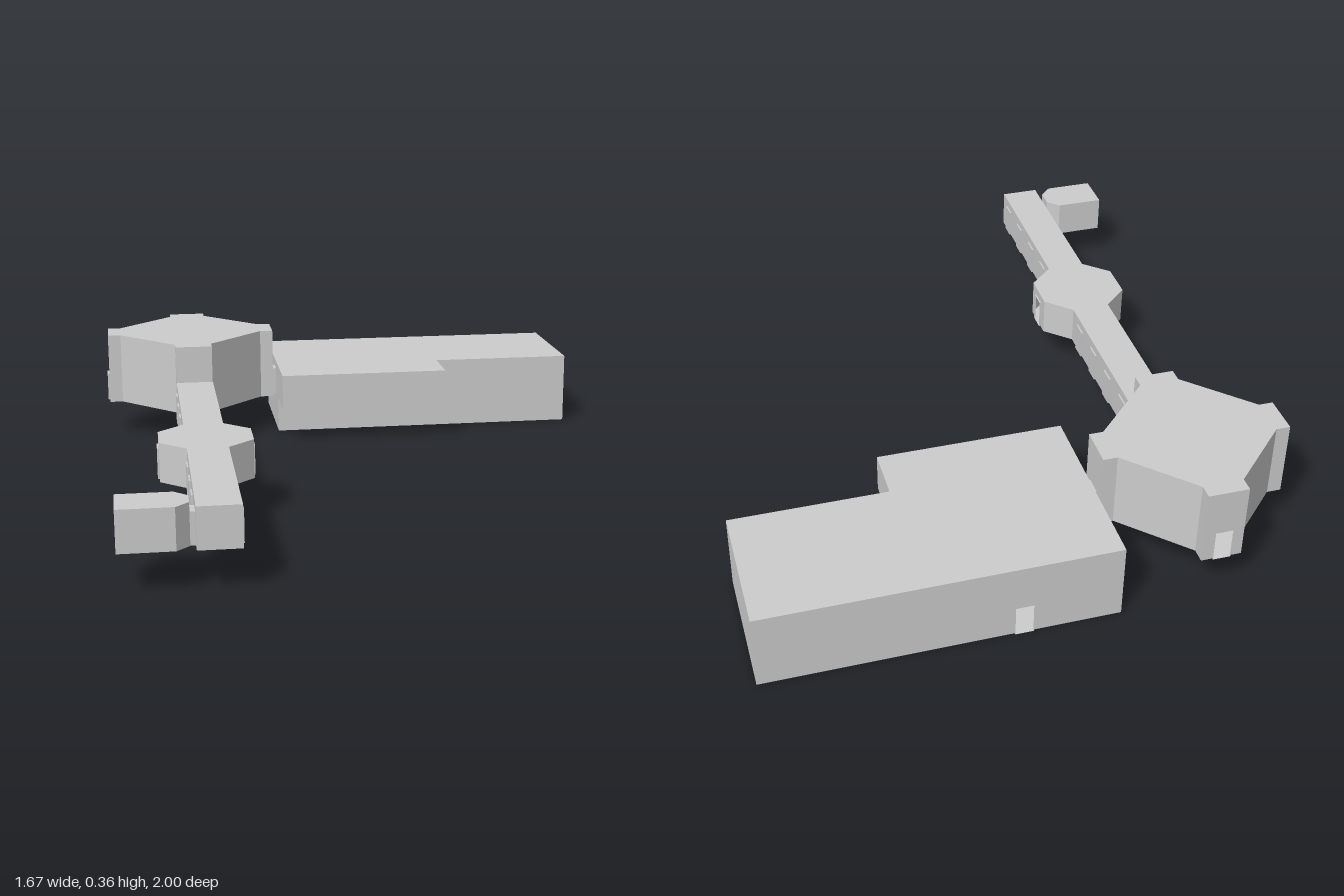
import * as THREE from 'three';
import { mergeGeometries } from 'three/addons/utils/BufferGeometryUtils.js';

const DOOR = 0.055, DOOR_H = 0.095, LEVEL = 0.12;

export function createModel() {
  const model = new THREE.Group();
  const grey = new THREE.MeshStandardMaterial({ color: 0xcccccc, side: THREE.DoubleSide });
  grey.name = 'plain grey';

  const add = (name, geometry) => {
    const mesh = new THREE.Mesh(geometry, grey);
    mesh.name = name;
    model.add(mesh);
    return mesh;
  };

  // One upright wall from a to b, with an optional doorway { at, sill }
  function wall(a, b, y0, y1, door) {
    const dx = b[0] - a[0], dz = b[1] - a[1], len = Math.hypot(dx, dz), h = y1 - y0;
    const p = (list) => list.map(([x, y]) => new THREE.Vector2(x, y));
    let shape;
    if (!door) {
      shape = new THREE.Shape(p([[0, 0], [len, 0], [len, h], [0, h]]));
    } else {
      const at = door.at ?? len / 2, u0 = at - DOOR / 2, u1 = at + DOOR / 2;
      if (door.sill) {
        shape = new THREE.Shape(p([[0, 0], [len, 0], [len, h], [0, h]]));
        const s = door.sill, t = s + DOOR_H;
        shape.holes.push(new THREE.Path(p([[u0, s], [u0, t], [u1, t], [u1, s]])));
      } else {
        shape = new THREE.Shape(p([[0, 0], [u0, 0], [u0, DOOR_H], [u1, DOOR_H],
          [u1, 0], [len, 0], [len, h], [0, h]]));
      }
    }
    const d = new THREE.Vector3(dx / len, 0, dz / len);
    const up = new THREE.Vector3(0, 1, 0);
    const m = new THREE.Matrix4().makeBasis(d, up, d.clone().cross(up)).setPosition(a[0], y0, a[1]);
    return new THREE.ShapeGeometry(shape).applyMatrix4(m);
  }

  // Hollow room over a plan of [x, z] corners, starting at the front and going towards +x
  function room(name, plan, y0, y1, doors = {}, open = []) {
    const slab = (sign) => new THREE.ShapeGeometry(
      new THREE.Shape(plan.map(([x, z]) => new THREE.Vector2(x, sign * z))));
    const parts = [
      slab(-1).rotateX(-Math.PI / 2).translate(0, y1, 0),
      slab(1).rotateX(Math.PI / 2).translate(0, y0, 0),
    ];
    plan.forEach((a, i) => {
      if (!open.includes(i)) parts.push(wall(a, plan[(i + 1) % plan.length], y0, y1, doors[i]));
    });
    add(name, mergeGeometries(parts));
  }

  const rect = (x0, x1, z0, z1) => [[x0, z1], [x1, z1], [x1, z0], [x0, z0]];

  // Short open passages through the doorways
  const passageX = (name, x0, x1, z, y = LEVEL) =>
    room(name, rect(x0, x1, z - DOOR / 2, z + DOOR / 2), y, y + DOOR_H, {}, [1, 3]);
  const passageZ = (name, x, z0, z1, y = LEVEL) =>
    room(name, rect(x - DOOR / 2, x + DOOR / 2, z0, z1), y, y + DOOR_H, {}, [0, 2]);

  // Large hall and its raised front wing
  room('hall', rect(-0.23, 0.83, -0.995, -0.577), 0, 0.242,
    { 2: { at: 0.7675 }, 3: { at: 0.315, sill: LEVEL } });
  room('hallWing', rect(-0.23, 0.35, -0.577, -0.413), LEVEL, 0.242, {}, [2]);
  passageZ('hallBackDoor', 0.0625, -1, -0.995, 0);

  // Diamond chamber with a stub on each corner
  const cx = -0.537, cz = -0.68, w = 0.062, r = 0.248, s = 0.292;
  const chamber = [
    [-w, s], [w, s], [w, r], [r, w], [s, w], [s, -w], [r, -w], [w, -r],
    [w, -s], [-w, -s], [-w, -r], [-r, -w], [-s, -w], [-s, w], [-r, w], [-w, r],
  ].map(([x, z]) => [cx + x, cz + z]);
  room('chamber', chamber, LEVEL, 0.362, { 0: {}, 4: {}, 8: {}, 12: {} });
  passageX('chamberHallPassage', cx + s, -0.23, cz);
  passageX('chamberSideDoor', -0.836, cx - s, cz);
  passageZ('chamberBackDoor', cx, -0.977, cz - s);
  passageZ('chamberCorridorPassage', cx, cz + s, -0.367);

  // Long corridor with a wider bay halfway along
  const half = 0.142, mid = 0.317;
  const corridor = [
    [-w, 1], [w, 1], [w, 0.452], [half, 0.379], [half, 0.255], [w, 0.182], [w, -0.367],
    [-w, -0.367], [-w, 0.182], [-half, 0.255], [-half, 0.379], [-w, 0.452],
  ].map(([x, z]) => [cx + x, z]);
  room('corridor', corridor, LEVEL, 0.242,
    { 3: {}, 6: {}, 9: {}, 11: { at: 0.93 - 0.452 } });
  passageX('bayLeftDoor', cx + half, cx + half + 0.005, mid);
  passageX('bayRightDoor', cx - half - 0.005, cx - half, mid);

  // Thin door panels along both corridor walls
  for (const side of [-1, 1]) {
    for (const z of [-0.303, -0.167, -0.031, 0.105, 0.521, 0.657, 0.793, 0.93]) {
      if (side < 0 && z > 0.9) continue;
      add('corridorPanel', new THREE.BoxGeometry(0.006, DOOR_H, DOOR))
        .position.set(cx + side * (w + 0.002), LEVEL + DOOR_H / 2, z);
    }
  }

  // Small end room beside the corridor
  room('endRoom', [[-0.81, 0.997], [-0.652, 0.997], [-0.614, 0.96], [-0.614, 0.9],
    [-0.652, 0.863], [-0.81, 0.863]], LEVEL, 0.242, { 2: {} });
  passageX('endRoomPassage', -0.614, cx - w, 0.93);

  return model;
}
